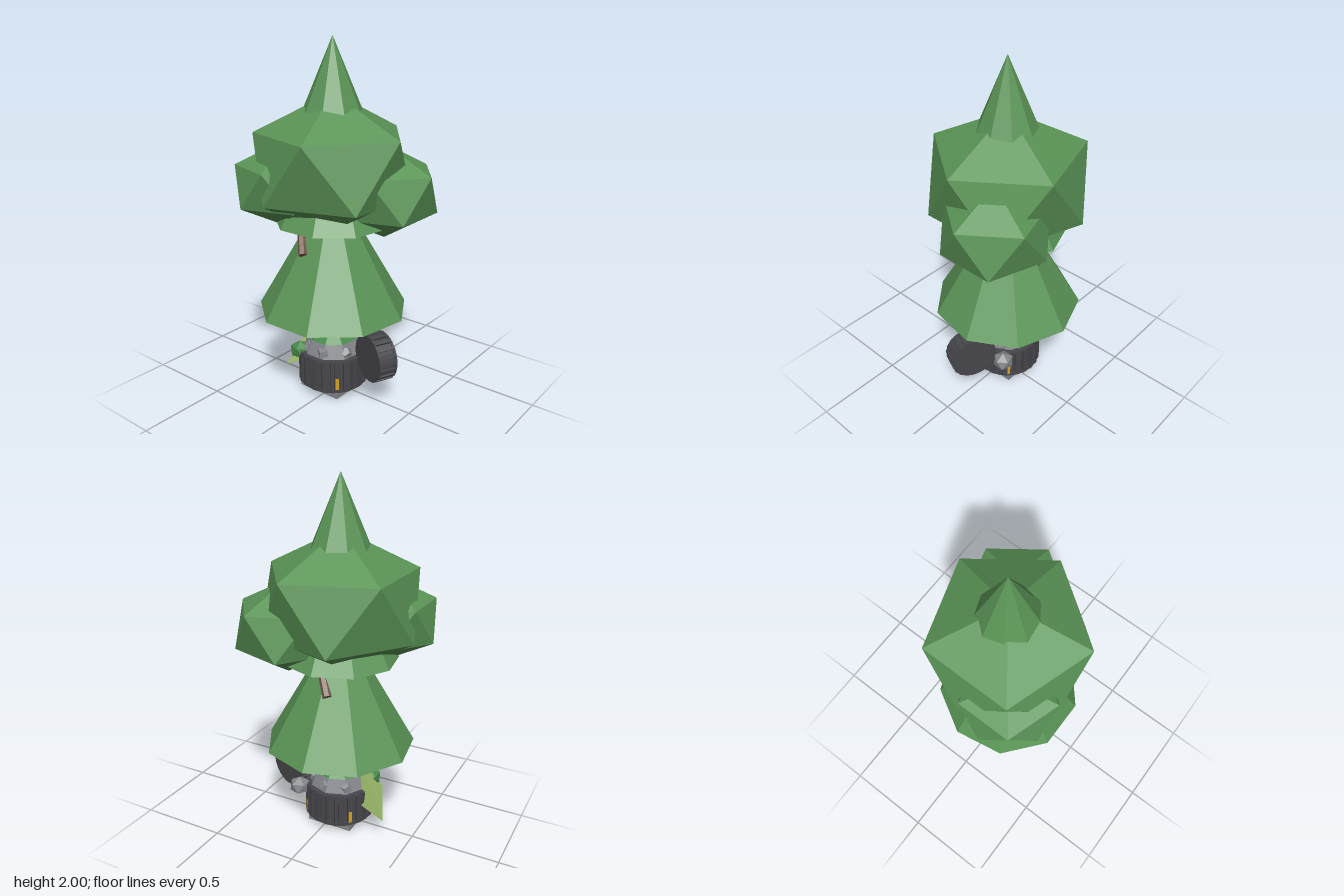
import * as THREE from 'three';
import { ConvexGeometry } from 'three/addons/geometries/ConvexGeometry.js';

const AX = -0.03, AZ = 0.005; // trunk axis

export function createModel() {
  const model = new THREE.Group();
  const mat = (name, color) => {
    const m = new THREE.MeshStandardMaterial({ color, flatShading: true });
    m.name = name;
    return m;
  };
  const leaf = mat('leafGreen', 0x5a9456);
  const moss = mat('mossGreen', 0x478849);
  const lime = mat('limeGreen', 0xaece76);
  const bark = mat('barkBrown', 0x765d4d);
  const stone = mat('stoneGrey', 0x85878c);
  const dark = mat('darkRubber', 0x47474c);
  const gold = mat('gold', 0xd2a322);

  const add = (parent, name, geo, material, x = 0, y = 0, z = 0) => {
    const m = new THREE.Mesh(geo, material);
    m.name = name;
    m.position.set(x, y, z);
    parent.add(m);
    return m;
  };
  // frustum standing on y0, with a corner towards the back
  const frustum = (name, rBottom, rTop, y0, y1, sides, material) => {
    const m = add(model, name, new THREE.CylinderGeometry(rTop, rBottom, y1 - y0, sides), material, AX, (y0 + y1) / 2, AZ);
    m.rotation.y = Math.PI;
    return m;
  };
  // icosahedron with a corner pointing straight up, slightly squashed
  const clump = (name, r, material, x, y, z, squash = 0.81) => {
    const g = new THREE.IcosahedronGeometry(r, 0).rotateZ(-Math.atan(2 / (1 + Math.sqrt(5))));
    return add(model, name, g.scale(1, squash, 1), material, x, y, z);
  };
  // ribbed drum lying along y
  const ribbedDrum = (name, r, h, ribs) => {
    const g = new THREE.Group();
    g.name = name;
    add(g, name + 'Core', new THREE.CylinderGeometry(r * 0.92, r * 0.92, h, 24), dark);
    for (const s of [-1, 1]) {
      add(g, name + 'Rim', new THREE.CylinderGeometry(r * 0.97, r * 0.97, h * 0.1, 24), dark, 0, s * h * 0.45, 0);
    }
    for (let i = 0; i < ribs; i++) {
      const a = (i / ribs) * Math.PI * 2;
      const rib = add(g, name + 'Rib', new THREE.BoxGeometry(r * 0.13, h * 0.94, r * 0.1), dark,
        Math.sin(a) * r * 0.945, 0, Math.cos(a) * r * 0.945);
      rib.rotation.y = a;
    }
    model.add(g);
    return g;
  };

  // foliage
  frustum('lowerFoliage', 0.425, 0, 0.5, 1.24, 9, leaf);
  frustum('middleFoliage', 0.325, 0, 1.01, 1.58, 9, leaf);
  frustum('topFoliage', 0.25, 0, 1.41, 2, 9, leaf);
  clump('mainFoliageClump', 0.48, leaf, AX, 1.325, AZ);
  clump('rightFoliageClump', 0.29, leaf, -0.245, 1.22, 0.17);
  clump('leftFoliageClump', 0.319, leaf, 0.218, 1.19, -0.133);

  // trunk and the two branches poking out of the foliage
  frustum('trunk', 0.066, 0.05, 0.3, 1.2, 9, bark);
  for (const s of [1, -1]) {
    const end = new THREE.Vector3(-0.065, 0.86, AZ + s * 0.215);
    const dir = new THREE.Vector3(-0.1 * s, 0.15, -0.1 * s).normalize();
    const branch = add(model, s > 0 ? 'frontBranch' : 'backBranch', new THREE.CylinderGeometry(0.018, 0.025, 0.44, 6), bark);
    branch.quaternion.setFromUnitVectors(new THREE.Vector3(0, 1, 0), dir);
    branch.position.copy(end).addScaledVector(dir, 0.22);
  }

  // pot: footing, ribbed drum, stone collar, moss mound
  add(model, 'footing', new THREE.BoxGeometry(0.27, 0.036, 0.27), stone, AX, 0.022, AZ);
  add(model, 'footingPlate', new THREE.BoxGeometry(0.225, 0.005, 0.225), gold, AX, 0.0025, AZ);
  frustum('potRim', 0.18, 0.195, 0.035, 0.05, 16, stone);
  ribbedDrum('pot', 0.202, 0.19, 24).position.set(AX, 0.145, AZ);
  frustum('stoneCollar', 0.175, 0.145, 0.235, 0.315, 9, stone);
  frustum('mossMound', 0.145, 0.075, 0.31, 0.372, 9, moss);

  // stones around the collar
  for (let i = 0; i < 7; i++) {
    const a = (i / 7) * Math.PI * 2 + 0.3;
    const rock = add(model, 'collarStone', new THREE.DodecahedronGeometry(0.042, 0), stone,
      AX + Math.sin(a) * 0.135, 0.265, AZ + Math.cos(a) * 0.135);
    rock.rotation.set(i, i * 1.7, 0);
  }
  clump('sideStone', 0.062, stone, 0.16, 0.22, -0.135, 0.9);
  clump('mossTuft', 0.064, moss, -0.17, 0.23, 0.135, 0.85);

  // gold pegs on the four diagonals
  for (let i = 0; i < 4; i++) {
    const a = Math.PI / 4 + (i * Math.PI) / 2;
    const peg = add(model, 'goldPeg', new THREE.BoxGeometry(0.018, 0.07, 0.025), gold,
      AX + Math.sin(a) * 0.19, 0.105, AZ + Math.cos(a) * 0.19);
    peg.rotation.y = a;
  }

  // ribbed wheel leaning against the pot
  const wheel = ribbedDrum('wheel', 0.137, 0.112, 20);
  wheel.position.set(0.28, 0.282, 0.01);
  wheel.quaternion.setFromUnitVectors(new THREE.Vector3(0, 1, 0), new THREE.Vector3(-0.4, 0, 0.916).normalize());

  // pointed leaf beside the pot
  add(model, 'pointedLeaf', new ConvexGeometry([
    new THREE.Vector3(-0.145, 0.41, 0.015),
    new THREE.Vector3(-0.375, 0.145, -0.14),
    new THREE.Vector3(-0.22, 0.145, 0.2),
    new THREE.Vector3(-0.13, 0.145, -0.02),
  ]), lime);

  return model;
}
